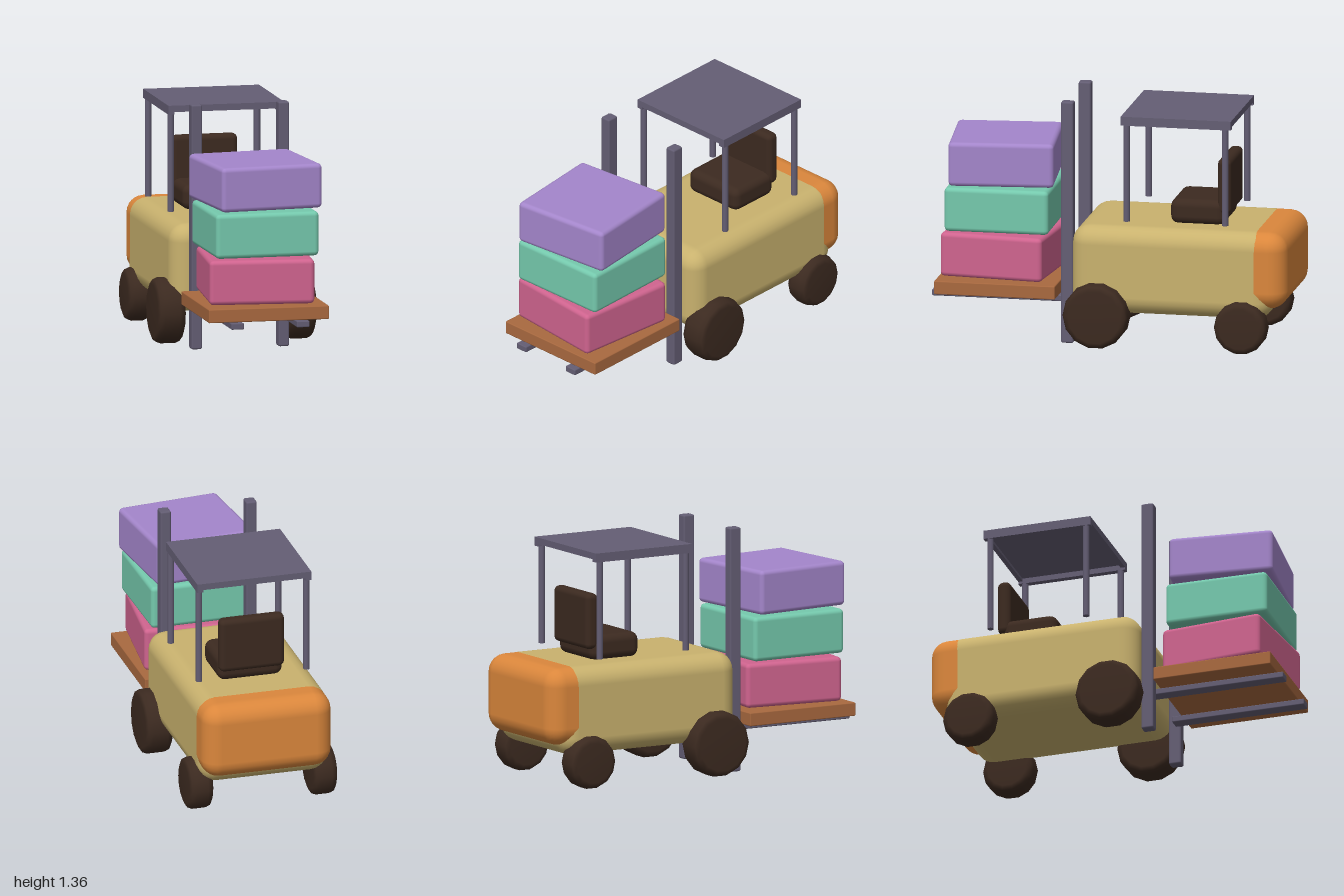
import * as THREE from 'three';
import { RoundedBoxGeometry } from 'three/addons/geometries/RoundedBoxGeometry.js';

const material = (name, color) => {
  const m = new THREE.MeshStandardMaterial({ color });
  m.name = name;
  return m;
};

export function createModel() {
  const model = new THREE.Group();
  model.name = 'forklift';
  const tan = material('tan paint', 0xc9b26e);
  const orange = material('orange paint', 0xdb873c);
  const brown = material('dark brown rubber', 0x3c2a20);
  const steel = material('grey steel', 0x645e74);
  const wood = material('pallet wood', 0xa9693f);
  const pink = material('pink', 0xd0648f);
  const green = material('mint green', 0x75c9ad);
  const purple = material('lavender', 0xa486cb);

  const add = (name, geometry, mat, x, y, z) => {
    const mesh = new THREE.Mesh(geometry, mat);
    mesh.name = name;
    mesh.position.set(x, y, z);
    model.add(mesh);
    return mesh;
  };
  // Boxes are given by their [min, max] on each axis; r rounds the edges
  const box = (name, mat, [x0, x1], [y0, y1], [z0, z1], r = 0, seg = 2) => {
    const s = [x1 - x0, y1 - y0, z1 - z0];
    const g = r ? new RoundedBoxGeometry(...s, seg, r) : new THREE.BoxGeometry(...s);
    return add(name, g, mat, (x0 + x1) / 2, (y0 + y1) / 2, (z0 + z1) / 2);
  };

  // Body and counterweight
  box('body', tan, [-0.37, 0.37], [0.19, 0.68], [-0.92, 0.2], 0.1, 3);
  box('counterweight', orange, [-0.369, 0.369], [0.25, 0.679], [-1, -0.72], 0.1, 3);

  // Wheels: a rounded profile turned about the axle
  const wheel = (name, x, y, z, r, w) => {
    const h = w / 2, c = 0.035;
    const profile = [[0, -h], [r - c, -h], [r - c * 0.3, -h + c * 0.3], [r, -h + c],
      [r, h - c], [r - c * 0.3, h - c * 0.3], [r - c, h], [0, h]];
    const g = new THREE.LatheGeometry(profile.map(p => new THREE.Vector2(...p)), 14);
    g.rotateZ(Math.PI / 2);
    add(name, g, brown, x, y, z);
  };

  // Mirrored parts
  for (const [side, s] of [['left', 1], ['right', -1]]) {
    const span = (a, b) => (s > 0 ? [a, b] : [-b, -a]);
    wheel(`${side}FrontWheel`, s * 0.368, 0.19, 0.05, 0.182, 0.155);
    wheel(`${side}RearWheel`, s * 0.353, 0.155, -0.755, 0.147, 0.135);
    box(`${side}Mast`, steel, span(0.214, 0.275), [0, 1.355], [0.2, 0.27], 0.01, 1);
    box(`${side}Fork`, steel, span(0.148, 0.22), [0.22, 0.255], [0.24, 1], 0.006, 1);
    box(`${side}RoofRail`, steel, span(0.29, 0.325), [1.25, 1.28], [-0.69, -0.075]);
    for (const [end, z] of [['Front', -0.105], ['Rear', -0.655]]) {
      add(`${side}${end}Post`, new THREE.CylinderGeometry(0.018, 0.018, 0.55, 10),
        steel, s * 0.306, 0.985, z);
    }
  }

  // Roof plate with its cross bars
  box('roof', steel, [-0.325, 0.325], [1.28, 1.3], [-0.69, -0.075]);
  box('roofFrontBar', steel, [-0.29, 0.29], [1.264, 1.28], [-0.1, -0.075]);
  box('roofRearBar', steel, [-0.29, 0.29], [1.264, 1.28], [-0.69, -0.665]);

  // Seat
  box('seatCushion', brown, [-0.185, 0.185], [0.675, 0.815], [-0.63, -0.32], 0.045);
  box('seatBack', brown, [-0.185, 0.185], [0.74, 1.05], [-0.66, -0.585], 0.03);

  // Pallet and its stack of slightly turned crates
  box('pallet', wood, [-0.338, 0.338], [0.255, 0.33], [0.29, 0.965], 0.006, 1);
  const crates = [['lowerCrate', pink, 0.34, -5.5], ['middleCrate', green, 0.6, 0.7],
    ['upperCrate', purple, 0.86, 6]];
  for (const [name, mat, y, turn] of crates) {
    const crate = box(name, mat, [-0.29, 0.29], [y, y + 0.246], [0.342, 0.922], 0.025);
    crate.rotation.y = THREE.MathUtils.degToRad(turn);
  }
  return model;
}
